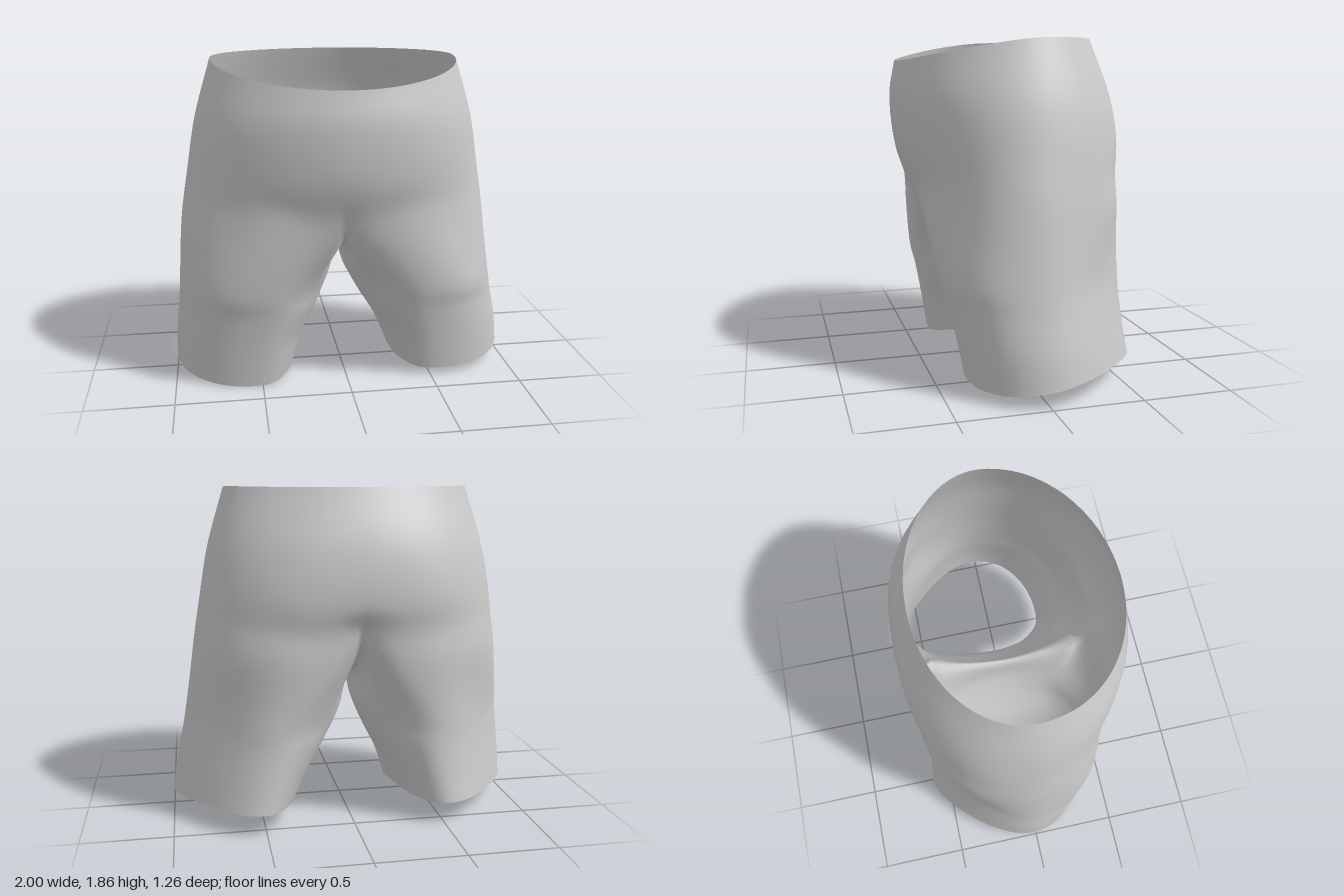
import * as THREE from 'three';
import { mergeGeometries, mergeVertices } from 'three/addons/utils/BufferGeometryUtils.js';

const OUTER = 8;   // control spans from the front seam round the outside to the back seam
const INNER = 4;   // control spans back along the inseam
const SUB = 4;     // columns per control span
const STEPS = 6;   // rows between two sections
const V = (x, y, z) => new THREE.Vector3(x, y, z);
const pow = (c, p) => Math.sign(c) * Math.abs(c) ** p;

// Half of a trunk section, from centre front round the side to centre back (squarer behind)
function trunk(width, front, back, backPower, height, cleft = 0) {
  const points = [];
  for (let k = 0; k <= OUTER; k++) {
    const a = (k / OUTER - 0.5) * Math.PI;
    const p = a > 0 ? backPower : 1;
    const z = -pow(Math.sin(a), p) * (a < 0 ? front : back) * (k === OUTER ? 1 - cleft : 1);
    const x = k % OUTER === 0 ? 0 : width * pow(Math.cos(a), p);
    points.push(V(x, height(z), z));
  }
  return points;
}

// Full section of a leg from its front inner corner: four quarter ovals about (cx, cz),
// the outer back one flattened towards a diagonal
function leg(inside, outside, front, back, cx, height) {
  const points = [], cz = -0.04;
  for (let k = 0; k < OUTER + INNER; k++) {
    const degrees = k <= OUTER ? -135 + k * 33.75 : 135 + (k - OUTER) * 22.5;
    const a = THREE.MathUtils.degToRad(degrees);
    const c = Math.cos(a), s = Math.sin(a);
    const p = c > 0 && s > 0 ? 1.35 : 0.92;
    const x = cx + (c > 0 ? outside - cx : cx - inside) * pow(c, p);
    const z = cz - (s > 0 ? cz - back : front - cz) * pow(s, p);
    points.push(V(x, height(z), z));
  }
  return points;
}

// Sample a closed curve through a section into evenly spaced columns
function sample(points, isTrunk) {
  const loop = isTrunk
    ? [...points, ...points.slice(1, -1).reverse().map(q => V(-q.x, q.y, q.z))]
    : points;
  const curve = new THREE.CatmullRomCurve3(loop, true, 'catmullrom');
  const count = (isTrunk ? OUTER * SUB + 1 : (OUTER + INNER) * SUB);
  return Array.from({ length: count }, (_, j) => curve.getPoint(j / SUB / loop.length));
}

function buildHalf(side) {
  const waistY = z => 1.868 - 0.118 * Math.max(0, (z + 0.1) / 0.7) ** 1.5;
  const hemY = z => 0.125 - 0.08 * THREE.MathUtils.clamp((z + 0.2) / 0.55, 0, 1);

  // Crotch section: seat and thigh outside, an arched saddle inside
  const crotch = [
    [0, 0.94, 0.46], [0.2, 0.97, 0.51], [0.5, 0.97, 0.47], [0.8, 0.97, 0.27],
    [0.895, 0.97, -0.04], [0.76, 0.97, -0.38], [0.48, 0.97, -0.56], [0.18, 0.99, -0.575],
    [0, 1.04, -0.49], [0, 0.87, -0.28], [0, 0.775, 0], [0, 0.83, 0.27],
  ].map(q => V(...q));

  const sections = [
    sample(trunk(0.7, 0.605, 0.5, 1, waistY), true),
    sample(trunk(0.795, 0.635, 0.61, 0.92, () => 1.54, 0.01), true),
    sample(trunk(0.85, 0.6, 0.635, 0.88, () => 1.24, 0.03), true),
    sample(crotch),
    sample(leg(0.045, 0.935, 0.465, -0.57, 0.45, () => 0.62)),
    sample(leg(0.12, 0.955, 0.425, -0.57, 0.47, () => 0.46)),
    sample(leg(0.225, 0.985, 0.385, -0.585, 0.5, () => 0.27)),
    sample(leg(0.29, 1.0, 0.345, -0.6, 0.53, hemY)),
  ];
  const split = 3, last = sections.length - 1;
  const outerEnd = OUTER * SUB, columns = (OUTER + INNER) * SUB;
  for (let j = outerEnd; j < columns; j++) sections[split][j].x = 0;

  // Run a smooth line down every column
  const lines = [];
  for (let j = 0; j < columns; j++) {
    const inner = j > outerEnd;
    const below = sections[split + 1][j];
    const keys = inner
      ? [V(-3 * below.x, below.y, below.z), ...sections.slice(split).map(s => s[j])]
      : sections.map(s => s[j]);
    lines.push(new THREE.CatmullRomCurve3(keys, false, 'catmullrom'));
  }

  const positions = [], index = [];
  const rows = last * STEPS, splitRow = split * STEPS;
  for (let i = 0; i <= rows; i++) {
    for (let j = 0; j < columns; j++) {
      const inner = j > outerEnd, t = i / STEPS;
      const u = inner ? Math.max(1, t - split + 1) / (last - split + 1) : t / last;
      const q = lines[j].getPoint(u);
      if (i <= splitRow && (j === 0 || j >= outerEnd)) q.x = 0;
      // The body leans slightly to its right, and the right hem hangs lower in front
      const shift = -0.035 * THREE.MathUtils.smoothstep(q.y, 0, 1);
      const sag = side < 0 ? 0.1 * Math.max(0, q.z + 0.1) * Math.max(0, 1 - q.y / 0.7) : 0;
      positions.push(shift + side * q.x, q.y - sag, q.z);
    }
  }
  for (let i = 0; i < rows; i++) {
    const end = i < splitRow ? outerEnd : columns;
    for (let j = 0; j < end; j++) {
      const n = (j + 1) % columns;
      const a = i * columns + j, b = i * columns + n, c = a + columns, d = b + columns;
      if (side > 0) index.push(a, c, b, b, c, d);
      else index.push(a, b, c, b, d, c);
    }
  }
  const geometry = new THREE.BufferGeometry();
  geometry.setAttribute('position', new THREE.Float32BufferAttribute(positions, 3));
  geometry.setIndex(index);
  return geometry;
}

export function createModel() {
  const group = new THREE.Group();
  group.name = 'shorts';
  // Both halves are welded along the centre seam so the cloth shades smoothly
  const cloth = mergeVertices(mergeGeometries([buildHalf(1), buildHalf(-1)]), 1e-4);
  cloth.computeVertexNormals();
  const mesh = new THREE.Mesh(cloth, new THREE.MeshStandardMaterial({
    color: 0xcccccc, side: THREE.DoubleSide,
  }));
  mesh.name = 'shortsCloth';
  group.add(mesh);
  return group;
}
